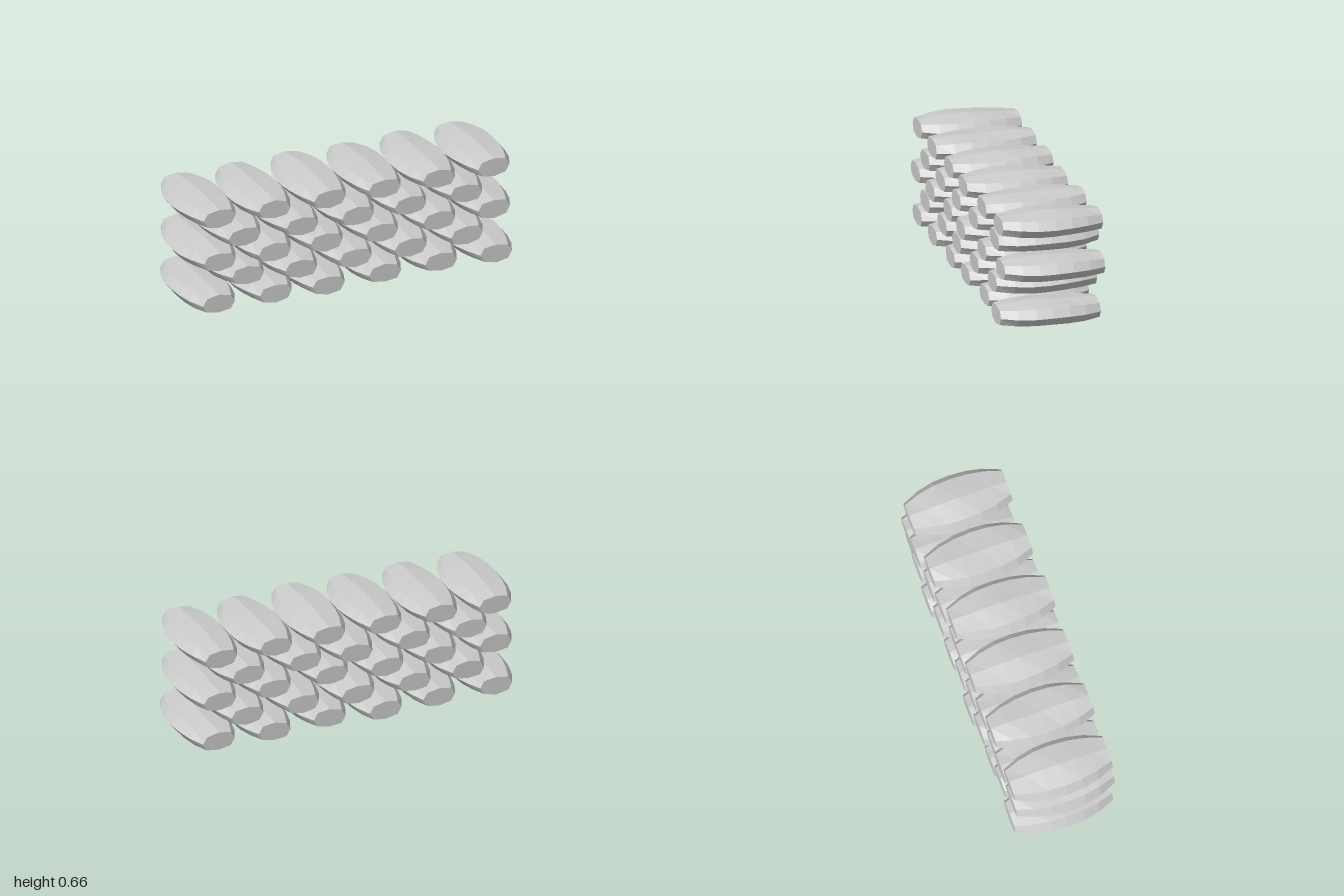
import * as THREE from 'three';

// Each row of bags: [x, y, z] centres
const ROWS = [
  [[-0.835, 0.085, -0.01], [-0.495, 0.085, 0], [-0.17, 0.072, -0.01], [0.165, 0.087, 0], [0.505, 0.082, -0.01], [0.828, 0.082, 0.015]],
  [[-0.665, 0.22, -0.005], [-0.34, 0.205, -0.01], [-0.01, 0.205, 0], [0.325, 0.21, -0.005], [0.665, 0.215, -0.01]],
  [[-0.835, 0.34, 0], [-0.505, 0.338, 0.01], [-0.185, 0.335, 0], [0.14, 0.342, 0.02], [0.495, 0.34, 0], [0.83, 0.34, -0.01]],
  [[-0.68, 0.465, -0.01], [-0.34, 0.462, 0], [0, 0.457, 0.005], [0.315, 0.465, 0], [0.665, 0.465, -0.022]],
  [[-0.83, 0.592, -0.01], [-0.505, 0.592, 0], [-0.17, 0.596, 0], [0.16, 0.597, 0.012], [0.49, 0.592, 0], [0.82, 0.595, 0]],
];

// Small repeatable noise in -1..1
function makeNoise(seed) {
  let s = seed;
  return () => {
    s = (s * 16807) % 2147483647;
    return (s / 2147483647) * 2 - 1;
  };
}

// Octagonal bag along z: barrel shaped, flattened, with gently uneven cloth
function bagGeometry(phase) {
  const geo = new THREE.CylinderGeometry(1, 1, 2, 8, 6);
  geo.rotateX(Math.PI / 2);
  const p = geo.attributes.position;
  const boxy = (v) => Math.sign(v) * Math.pow(Math.abs(v), 0.8);
  for (let i = 0; i < p.count; i++) {
    const x = p.getX(i), y = p.getY(i), t = p.getZ(i);
    const w = 0.164 - 0.069 * Math.pow(Math.abs(t), 2.2);
    const h = 0.066 - 0.013 * Math.pow(Math.abs(t), 2);
    const wave = 0.003 * Math.sin(4 * t + phase + 2 * x);
    p.setXYZ(i, boxy(x) * w, boxy(y) * h + wave, t * 0.286);
  }
  geo.computeVertexNormals();
  return geo;
}

export function createModel() {
  const wall = new THREE.Group();
  wall.name = 'sandbagWall';
  const material = new THREE.MeshStandardMaterial({ color: 0xcccccc, flatShading: true });
  const noise = makeNoise(4217);

  ROWS.forEach((row, r) => {
    const course = new THREE.Group();
    course.name = `sandbagRow${r + 1}`;
    row.forEach(([x, y, z], i) => {
      const bag = new THREE.Mesh(bagGeometry(noise() * Math.PI), material);
      bag.name = `sandbag${i + 1}`;
      bag.position.set(x, y, z);
      // Slight hand-laid tilt
      bag.rotation.set(noise() * 0.02, noise() * 0.015, noise() * 0.03);
      course.add(bag);
    });
    wall.add(course);
  });
  return wall;
}
